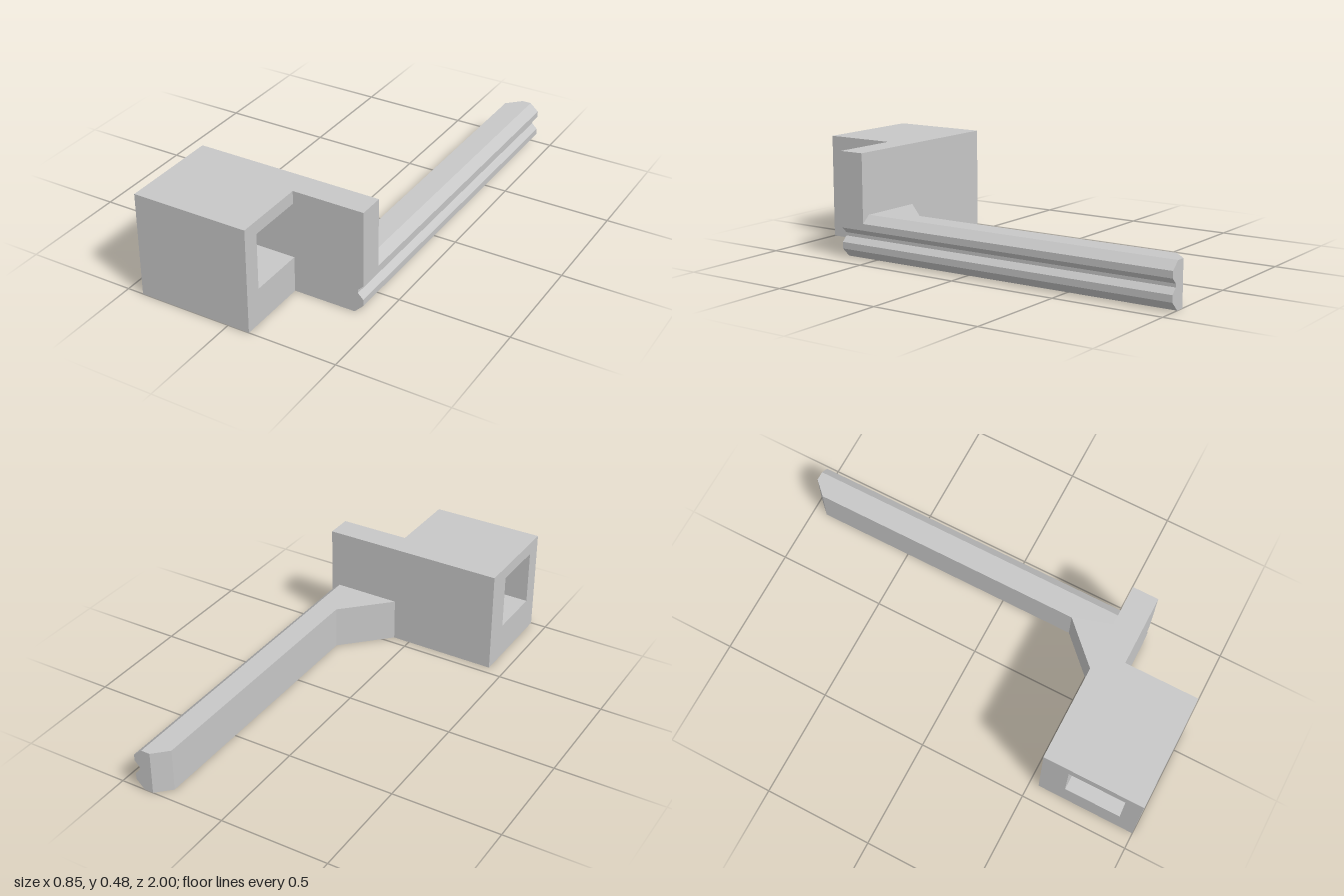
import * as THREE from 'three';
import { toCreasedNormals } from 'three/addons/utils/BufferGeometryUtils.js';

const toShape = (pts) => new THREE.Shape(pts.map(([x, y]) => new THREE.Vector2(x, y)));
const extrude = (shape, depth) =>
  new THREE.ExtrudeGeometry(shape, { depth, bevelEnabled: false, curveSegments: 32 });

// Extrude an (x, y) profile along z
const alongZ = (pts, z0, z1) => extrude(toShape(pts), z1 - z0).translate(0, 0, z0);
// Extrude a (z, y) profile along x
const alongX = (pts, x0, x1) =>
  extrude(toShape(pts.map(([z, y]) => [-z, y])), x1 - x0).rotateY(Math.PI / 2).translate(x0, 0, 0);
// Extrude an (x, z) plan upward from y = 0
const upward = (shape, height) => extrude(shape, height).rotateX(-Math.PI / 2);
const plan = (pts) => toShape(pts.map(([x, z]) => [x, -z]));

export function createModel() {
  const model = new THREE.Group();
  model.name = 'clampBracket';
  const grey = new THREE.MeshStandardMaterial({ color: 0xc7c7c7 });
  grey.name = 'lightGrey';
  const add = (name, geometry) => {
    const mesh = new THREE.Mesh(geometry, grey);
    mesh.name = name;
    model.add(mesh);
  };

  const left = -0.425, inner = 0.1, right = 0.425;
  const back = 0.542, plateFront = 0.662, front = 1;
  const floor = 0.165, top = 0.479;
  const hole = { x: (left + inner) / 2, z: 0.79, r: 0.118 };

  // Block floor with a round hole
  const base = plan([[left, back], [left, front], [inner, front], [inner, back]]);
  base.holes.push(new THREE.Path().absarc(hole.x, -hole.z, hole.r, 0, Math.PI * 2, true));
  add('blockFloor', upward(base, floor));

  // Block walls and roof around the square opening
  add('blockWalls', alongX([
    [back, floor], [plateFront, floor], [plateFront, 0.42], [0.922, 0.42],
    [0.922, floor], [front, floor], [front, top], [back, top],
  ], left, inner));

  // Thread ridges lining the hole, wound from top to bottom so they face inward
  const thread = [new THREE.Vector2(hole.r, floor)];
  const turns = 4, pitch = floor / turns;
  for (let i = 0; i < turns; i++) {
    const y = floor - i * pitch;
    thread.push(
      new THREE.Vector2(hole.r - 0.015, y - pitch * 0.4),
      new THREE.Vector2(hole.r - 0.015, y - pitch * 0.55),
      new THREE.Vector2(hole.r - 0.001, y - pitch),
    );
  }
  add('threadedHole', toCreasedNormals(new THREE.LatheGeometry(thread, 48), 0.5)
    .translate(hole.x, 0, hole.z));

  // Grooved right-hand edge shared by the plate and the rail
  const groove = [[0.385, 0], [right, 0.04], [right, 0.07], [0.4, 0.095], [0.4, 0.11], [right, 0.135]];
  add('sidePlate', alongZ([[inner, 0], ...groove, [right, top], [inner, top]], back, plateFront));

  // Long rail: grooved outer half, then the inner half with end chamfer and gusset
  const split = 0.343, railTop = 0.2;
  add('railGroovedSide', alongZ(
    [[split, 0], ...groove, [right, floor], [0.385, railTop], [split, railTop]], -1, back));
  add('railGussetSide', upward(plan([
    [split, -1], [0.28, -0.937], [0.28, 0.34], [0.08, back], [split, back],
  ]), railTop));

  return model;
}
